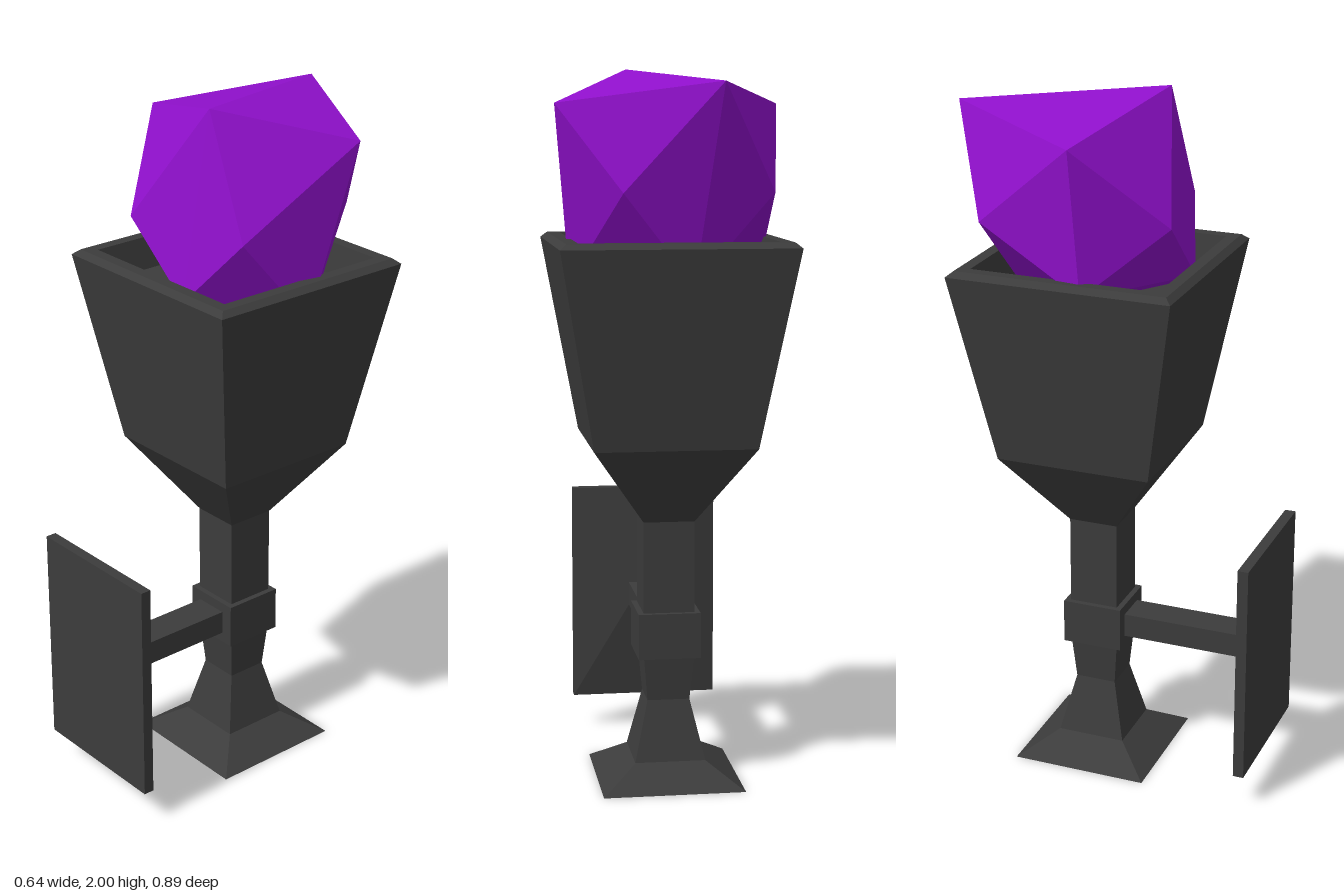
import * as THREE from 'three';
import { ConvexGeometry } from 'three/addons/geometries/ConvexGeometry.js';

const AXIS_Z = -0.074; // the torch stands slightly behind the centre

export function createModel() {
  const model = new THREE.Group();
  model.name = 'wallTorch';
  const iron = new THREE.MeshStandardMaterial({ color: 0x3c3c3c, flatShading: true });
  const gem = new THREE.MeshStandardMaterial({ color: 0x9010cc, flatShading: true });

  const add = (name, geometry, material, x = 0, y = 0, z = 0) => {
    const mesh = new THREE.Mesh(geometry, material);
    mesh.name = name;
    mesh.position.set(x, y, z);
    model.add(mesh);
  };

  // Square-section solid from [half width, height] pairs, bottom to top
  const squareLathe = (profile) => new THREE.LatheGeometry(
    profile.map(([half, y]) => new THREE.Vector2(half * Math.SQRT2, y)), 4, Math.PI / 4);

  // Flared foot and stem
  add('stem', squareLathe([
    [0, 0], [0.2, 0], [0.1, 0.065], [0.06, 0.235], [0.072, 0.37], [0.072, 0.75], [0, 0.75],
  ]), iron, 0, 0, AXIS_Z);

  // Collar gripping the stem
  add('collar', new THREE.BoxGeometry(0.176, 0.13, 0.176), iron, 0, 0.425, AXIS_Z);

  // Cup with chamfered rim and recessed floor
  add('cup', squareLathe([
    [0, 0.75], [0.072, 0.75], [0.225, 0.975], [0.322, 1.525], [0.304, 1.54],
    [0.27, 1.54], [0.255, 1.45], [0, 1.45],
  ]), iron, 0, 0, AXIS_Z);

  // Arm to the mounting plate
  add('arm', new THREE.BoxGeometry(0.1, 0.07, 0.375), iron, 0, 0.425, 0.19);

  // Mounting plate with a tapered back
  add('mountingPlate', new THREE.BoxGeometry(0.434, 0.65, 0.031), iron, 0, 0.425, 0.4275);
  const taper = new THREE.BoxGeometry(0.434, 0.65, 0.037);
  const p = taper.attributes.position;
  for (let i = 0; i < p.count; i++) {
    if (p.getZ(i) < 0) p.setXY(i, Math.sign(p.getX(i)) * 0.05, Math.sign(p.getY(i)) * 0.035);
  }
  taper.computeVertexNormals();
  add('plateTaper', taper, iron, 0, 0.425, 0.3935);

  // Irregular twelve-cornered crystal
  const corners = [
    [-0.105, 1.96, -0.443], [0.32, 1.905, -0.227], [0.09, 2, 0.095], [-0.315, 1.905, -0.04],
    [-0.26, 1.67, -0.32], [0.15, 1.67, -0.348], [0.243, 1.67, 0.11], [-0.137, 1.67, 0.182],
    [0.075, 1.48, 0.175], [0.27, 1.42, -0.1], [-0.285, 1.5, -0.02], [0, 1.36, -0.14],
    [-0.05, 1.42, -0.28],
  ].map((c) => new THREE.Vector3(...c));
  add('crystal', new ConvexGeometry(corners), gem);

  return model;
}
